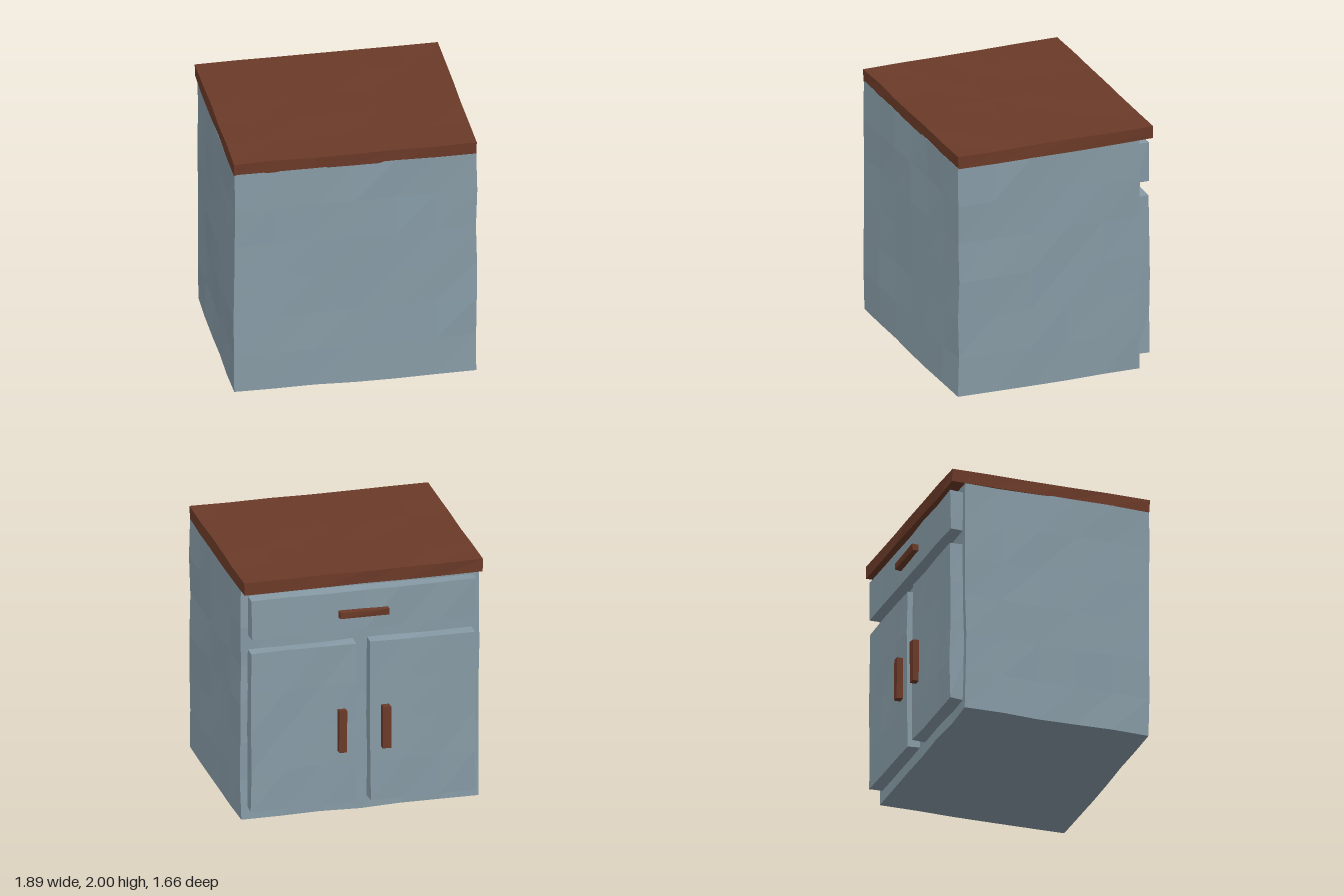
import * as THREE from 'three';

const paint = new THREE.MeshStandardMaterial({ color: 0x879ba6, flatShading: true });
const wood = new THREE.MeshStandardMaterial({ color: 0x6b3a28, flatShading: true });

// Repeatable value in -1..1 for a position, so shared corners stay together
function noise(x, y, z, seed) {
  const r = (v) => Math.round(v * 1000) / 1000;
  const s = Math.sin(r(x) * 12.99 + r(y) * 78.23 + r(z) * 37.72 + seed * 19.19) * 4375.85;
  return (s - Math.floor(s)) * 2 - 1;
}

// Box given by its limits, subdivided and gently wobbled for a hand-hewn surface
function hewnBox(name, material, [x0, x1], [y0, y1], [z0, z1], wobble, cell = 0.32) {
  const w = x1 - x0, h = y1 - y0, d = z1 - z0;
  const parts = (v) => Math.max(1, Math.round(v / cell));
  const geometry = new THREE.BoxGeometry(w, h, d, parts(w), parts(h), parts(d));
  geometry.translate((x0 + x1) / 2, (y0 + y1) / 2, (z0 + z1) / 2);
  const p = geometry.attributes.position;
  for (let i = 0; i < p.count; i++) {
    const x = p.getX(i), y = p.getY(i), z = p.getZ(i);
    p.setXYZ(i,
      x + wobble * noise(x, y, z, 1),
      y + wobble * noise(x, y, z, 2),
      z + wobble * noise(x, y, z, 3));
  }
  geometry.computeVertexNormals();
  const mesh = new THREE.Mesh(geometry, material);
  mesh.name = name;
  return mesh;
}

export function createModel() {
  const cabinet = new THREE.Group();
  cabinet.name = 'cabinet';

  // Carcass and the worktop that overhangs the door side
  cabinet.add(
    hewnBox('carcass', paint, [-0.94, 0.94], [0.008, 1.9], [-0.67, 0.823], 0.006),
    hewnBox('worktop', wood, [-0.942, 0.942], [1.895, 1.996], [-0.78, 0.825], 0.004),
  );

  // Drawer with a horizontal handle
  cabinet.add(
    hewnBox('drawerFront', paint, [-0.89, 0.88], [1.52, 1.84], [-0.775, -0.66], 0.005),
    hewnBox('drawerHandle', wood, [-0.195, 0.195], [1.635, 1.69], [-0.825, -0.765], 0.004),
  );

  // Pair of doors with upright handles near the middle
  for (const [side, s] of [['left', 1], ['right', -1]]) {
    const span = (a, b) => [a * s, b * s].sort((m, n) => m - n);
    cabinet.add(
      hewnBox(side + 'Door', paint, span(0.055, 0.885), [0.1, 1.405], [-0.775, -0.66], 0.005),
      hewnBox(side + 'DoorHandle', wood, span(0.14, 0.205), [0.54, 0.88], [-0.828, -0.765], 0.004),
    );
  }
  return cabinet;
}
